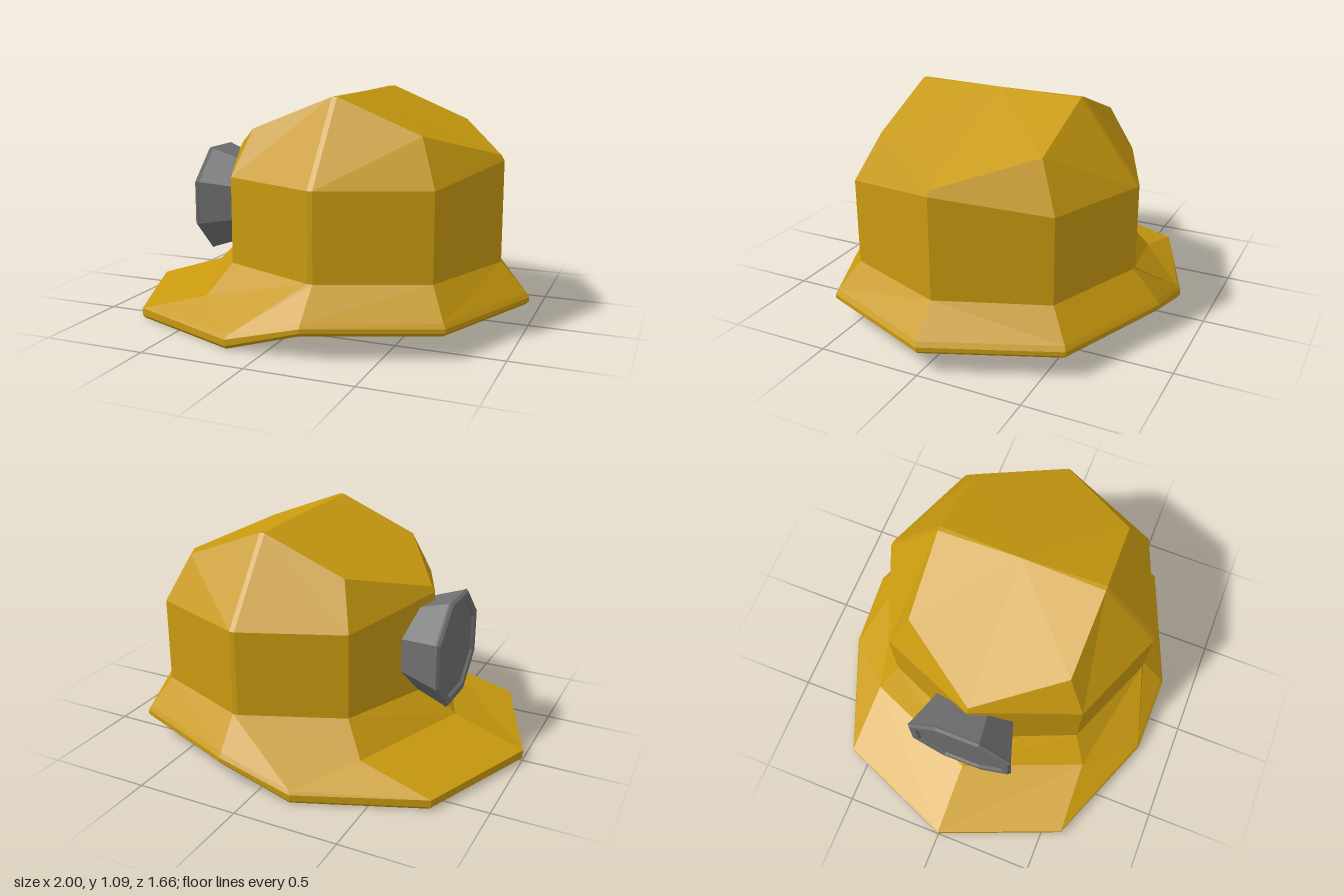
import * as THREE from 'three';

const yellow = new THREE.MeshStandardMaterial({ color: 0xc99a0f, flatShading: true });
yellow.name = 'helmetYellow';
const gray = new THREE.MeshStandardMaterial({ color: 0x707070, flatShading: true });
gray.name = 'lampGray';

// Each ring lists six stations [x, y, z] from back (+x) to front (-x); the other side is mirrored.
const ring = (half) => [...half, ...half.slice(1, 5).reverse().map(([x, y, z]) => [x, y, -z])];
const mix = (xs, ys, zs) => ring(xs.map((x, i) => [x, ys[i], zs[i]]));
const point = (x, y) => ring(Array(6).fill([x, y, 0]));

// Skin neighbouring rings, with quad diagonals mirrored on the two sides
function loft(name, rings) {
  const pos = [];
  const tri = (...pts) => {
    const [a, b, c] = pts.map((p) => new THREE.Vector3(...p));
    if (b.clone().sub(a).cross(c.clone().sub(a)).length() < 1e-7) return;
    pts.forEach((p) => pos.push(...p));
  };
  for (let i = 0; i < rings.length - 1; i++) {
    for (let k = 0; k < 10; k++) {
      const n = (k + 1) % 10;
      const a = rings[i][k], b = rings[i][n], c = rings[i + 1][k], d = rings[i + 1][n];
      if (k < 5) { tri(a, c, b); tri(b, c, d); } else { tri(a, c, d); tri(a, d, b); }
    }
  }
  const geo = new THREE.BufferGeometry();
  geo.setAttribute('position', new THREE.Float32BufferAttribute(pos, 3));
  geo.computeVertexNormals();
  const mesh = new THREE.Mesh(geo, yellow);
  mesh.name = name;
  return mesh;
}

export function createModel() {
  const group = new THREE.Group();
  group.name = 'minerHelmet';

  // Brim outline and crown outline
  const bx = [1, 0.755, 0.18, -0.18, -0.76, -1];
  const bz = [0, 0.595, 0.83, 0.83, 0.595, 0];
  const cx = [0.86, 0.67, 0.185, 0.16, -0.31, -0.52];
  const cz = [0, 0.5, 0.695, 0.695, 0.5, 0];
  const scale = (a, s) => a.map((v) => v * s);
  const inset = (s) => cx.map((x) => 0.17 + (x - 0.17) * s);

  const opening = mix(scale(bx, 0.58), [0.16, 0.16, 0.16, 0.13, 0.12, 0.12], scale(bz, 0.58));
  const wallBottom = mix(cx, Array(6).fill(0.3), cz);
  const roofX = [0.845, 0.58, 0.185, 0.16, -0.24, -0.505];
  const roofY = [0.81, 0.93, 1.09, 1.09, 0.93, 0.81];
  const roofZ = [0, 0.4, 0.41, 0.41, 0.4, 0];

  // Hollow inside of the crown
  group.add(loft('lining', [
    point(0.17, 1.04),
    mix(roofX.map((x) => 0.17 + (x - 0.17) * 0.93), roofY.map((y) => y - 0.05), scale(roofZ, 0.93)),
    mix(inset(0.93), [0.74, 0.68, 0.68, 0.68, 0.68, 0.74], scale(cz, 0.93)),
    mix(inset(0.93), Array(6).fill(0.3), scale(cz, 0.93)),
    opening,
  ]));

  // Brim: underside, chamfered rim, then the flare with the raised front visor
  group.add(loft('brim', [
    opening,
    mix(scale(bx, 0.985), [0.105, 0.105, 0.105, 0, 0, 0], scale(bz, 0.985)),
    mix(bx, [0.12, 0.12, 0.12, 0.015, 0.015, 0.015], bz),
    mix(bx, [0.14, 0.14, 0.14, 0.045, 0.05, 0.055], bz),
    mix([0.985, 0.743, 0.18, -0.175, -0.41, -0.65], [0.162, 0.162, 0.162, 0.06, 0.15, 0.17],
      [0, 0.586, 0.815, 0.82, 0.58, 0]),
    wallBottom,
  ]));

  // Crown: walls, sloping shoulders and ridged roof
  group.add(loft('crown', [
    wallBottom,
    mix(cx, [0.785, 0.71, 0.71, 0.71, 0.71, 0.785], cz),
    mix(roofX, roofY, roofZ),
    point(0.172, 1.09),
  ]));

  // Eight-sided head lamp with a recessed lens, pointing to -x
  const profile = [[0, 0.4], [0.2, 0.4], [0.222, 0.46], [0.28, 0.625], [0.287, 0.637], [0.275, 0.65],
    [0.24, 0.65], [0.23, 0.638], [0, 0.638]].map(([r, h]) => new THREE.Vector2(r, h));
  const lampGeo = new THREE.LatheGeometry(profile, 8, Math.PI / 8);
  lampGeo.rotateZ(Math.PI / 2);
  const lamp = new THREE.Mesh(lampGeo, gray);
  lamp.name = 'headLamp';
  lamp.position.y = 0.52;
  group.add(lamp);

  return group;
}
